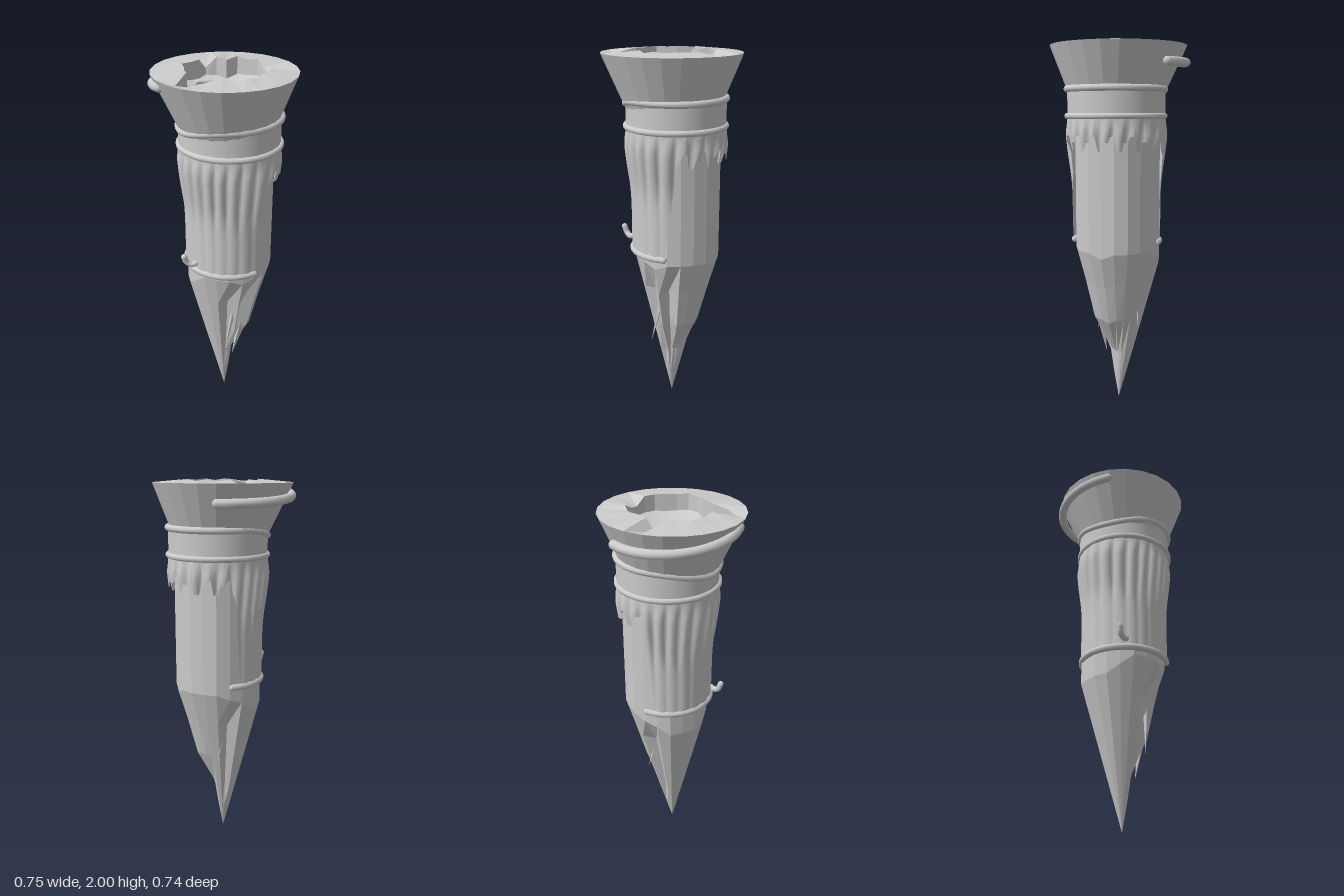
import * as THREE from 'three';

const DEG = Math.PI / 180;
const grey = (flat) => new THREE.MeshStandardMaterial({ color: 0xcccccc, flatShading: flat, side: THREE.DoubleSide });
const smoothstep = THREE.MathUtils.smoothstep;

// Closed surface round the y axis: point(angle, column, row) gives [x, y, z]; angle 0 faces the front
function wrapSurface(columns, rows, point, flat) {
  const pos = [], index = [];
  for (let j = 0; j < rows; j++)
    for (let i = 0; i < columns; i++) pos.push(...point((i / columns) * Math.PI * 2, i, j));
  for (let j = 0; j < rows - 1; j++)
    for (let i = 0; i < columns; i++) {
      const k = (i + 1) % columns;
      const a = j * columns + i, b = j * columns + k, c = a + columns, d = b + columns;
      index.push(a, b, d, a, d, c);
    }
  const g = new THREE.BufferGeometry();
  g.setAttribute('position', new THREE.Float32BufferAttribute(pos, 3));
  g.setIndex(index);
  g.computeVertexNormals();
  return new THREE.Mesh(g, grey(flat));
}

// Tube through points, with round ends when open
function tube(name, points, radius, closed = false) {
  const group = new THREE.Group();
  group.name = name;
  const curve = new THREE.CatmullRomCurve3(points, closed);
  group.add(new THREE.Mesh(new THREE.TubeGeometry(curve, points.length * 4, radius, 10, closed), grey(false)));
  if (!closed)
    for (const p of [points[0], points[points.length - 1]]) {
      const end = new THREE.Mesh(new THREE.SphereGeometry(radius, 10, 8), grey(false));
      end.position.copy(p);
      group.add(end);
    }
  return group;
}

// Points on an arc of given centre and radius, with the height given by a rule
function arc(from, to, count, cx, cz, radius, height) {
  return Array.from({ length: count }, (_, i) => {
    const t = i / (count - 1), a = (from + (to - from) * t) * DEG;
    return new THREE.Vector3(cx + Math.sin(a) * radius(t), height(t, a), cz + Math.cos(a) * radius(t));
  });
}

// Sharpened shaft: facets above the shoulder, a notched point below it
function buildShaft() {
  const N = 20, levels = [0, 0.18, 0.33, 0.56, 0.8, 1];
  const grooves = { 1: 0.78, 3: 0.72, 12: 0.75 };
  const mesh = wrapSurface(N, 8, (a, i, j) => {
    const r = 0.23 + 0.004 * Math.sin(i * 2.4);
    const sx = 0.03 + Math.sin(a) * r, sz = -0.025 + Math.cos(a) * r;
    const shoulder = i >= 14 && i <= 17 ? 0.79 : i === 13 || i === 18 ? 0.84 : i % 5 === 2 ? 0.86 : 0.89;
    if (j > 5) return [sx, j === 6 ? 1.1 : 1.58, sz];
    const t = levels[j];
    // the left side is hollowed close to the tip
    const side = Math.max(0, Math.sin(a));
    let k = j === 1 ? 1 - 0.5 * side : j === 2 ? 1 - 0.6 * side : j === 3 ? 1 + 0.06 * side : 1;
    if (grooves[i] && j > 1 && j < 5) k *= grooves[i];
    return [0.01 + (sx - 0.01) * t * k, shoulder * t, sz * t * k];
  }, true);
  mesh.name = 'sharpenedShaft';
  return mesh;
}

// Thin splinters lying in the grooves of the point
function buildSplinters() {
  const group = new THREE.Group();
  group.name = 'splinters';
  for (const [angle, y, length] of [[36, 0.62, 0.5], [72, 0.4, 0.26], [205, 0.66, 0.4]]) {
    const s = new THREE.Mesh(new THREE.ConeGeometry(0.028, length, 4), grey(true));
    const a = angle * DEG, r = 0.2 * y;
    s.rotation.set(Math.PI - 0.23 * Math.cos(a), 0, 0.23 * Math.sin(a));
    s.position.set(0.02 + Math.sin(a) * r, y, Math.cos(a) * r);
    group.add(s);
  }
  return group;
}

// Flared head with a broken, hollow top
function buildHead() {
  const lip = [0.22, 0.2, 0.225, 0.23, 0.22, 0.215, 0.225, 0.225, 0.22, 0.215, 0.23, 0.215,
    0.215, 0.17, 0.2, 0.215, 0.195, 0.2, 0.225, 0.2, 0.2, 0.205, 0.31, 0.285];
  const chips = { 8: 1.955, 9: 1.965, 15: 1.94, 22: 1.965, 23: 1.965 };
  const mesh = wrapSurface(24, 4, (a, i, j) => {
    const r = [0.205, 0.368, lip[i], lip[i] * 0.98][j];
    const y = [1.6, 1.98, chips[i] ?? 1.985 + 0.012 * Math.abs(Math.sin(i * 1.7)), 1.885][j];
    return [(j ? 0.011 : 0.03) + Math.sin(a) * r, y, Math.cos(a) * r];
  }, true);
  mesh.name = 'flaredHead';
  return mesh;
}

function buildBowl() {
  const profile = [[0, 1.87], [0.08, 1.873], [0.15, 1.885], [0.22, 1.91], [0.28, 1.935], [0.33, 1.955]];
  const mesh = new THREE.Mesh(
    new THREE.LatheGeometry(profile.map(([x, y]) => new THREE.Vector2(x, y)), 40), grey(false));
  mesh.name = 'bowl';
  mesh.position.x = 0.011;
  return mesh;
}

// The collar's upper edge dips on the front right
const collarTop = (a) => 1.752 - 0.05 * Math.max(0, Math.cos(a + 55 * DEG)) ** 3;

// Collar with a pleated wrap: long over the front, torn short at the back
function buildWrap() {
  const rows = 26;
  const mesh = wrapSurface(144, rows, (a, i, j) => {
    let d = a / DEG;
    if (d > 180) d -= 360;
    const long = d > 0 ? 1 - smoothstep(d, 50, 72) : smoothstep(d, -142, -128);
    const torn = 1.47 + 0.045 * Math.sin(Math.floor(i / 3) * 2.1);
    const hem = THREE.MathUtils.lerp(torn, 0.92, long);
    const y = hem + (collarTop(a) - hem) * (j / (rows - 1));
    const flare = smoothstep(y, 1.25, 1.58);
    const pleat = y > 1.59 ? 0 : (0.003 + 0.012 * smoothstep(y, 1.15, 1.42) * (1 - smoothstep(y, 1.5, 1.59)));
    const fold = 1 - 2 * Math.abs(Math.sin(11 * a + 0.5 * Math.sin(3 * a))) ** 0.7;
    const r = 0.239 + 0.025 * flare - pleat * fold;
    return [0.033 + Math.sin(a) * r, y, -0.014 + Math.cos(a) * r];
  }, false);
  mesh.name = 'pleatedWrap';
  return mesh;
}

export function createModel() {
  const model = new THREE.Group();
  model.name = 'stake';
  model.add(buildShaft(), buildSplinters(), buildHead(), buildBowl(), buildWrap());

  // Raised rings of the collar and hem
  const loop = (height) => arc(0, 345, 24, 0.035, -0.012, () => 0.263, height);
  model.add(tube('upperCollarRing', loop((t, a) => collarTop(a)), 0.018, true));
  model.add(tube('lowerCollarRing', loop(() => 1.61), 0.016, true));
  model.add(tube('hemRing', arc(-142, 52, 16, 0.033, -0.014, () => 0.235, () => 0.93), 0.018));

  // Loose hoop hanging round the right side of the head
  model.add(tube('looseHoop', arc(-165, -46, 14, 0.011, 0,
    (t) => 0.345 + 0.018 * Math.sin(t * Math.PI), (t) => 1.885 + 0.055 * t * t), 0.024));

  // Small hook on the front of the wrap
  model.add(tube('hook', [[-0.145, 1.02, 0.225], [-0.135, 0.985, 0.215], [-0.11, 0.97, 0.205], [-0.09, 0.975, 0.195]]
    .map((p) => new THREE.Vector3(...p)), 0.016));

  // Staple in the hollow top
  model.add(tube('staple', [[-0.145, 1.875, -0.008], [-0.138, 1.905, -0.012], [-0.11, 1.908, -0.022],
    [-0.04, 1.908, -0.046], [-0.012, 1.905, -0.057], [-0.005, 1.875, -0.06]]
    .map((p) => new THREE.Vector3(...p)), 0.012));
  return model;
}
